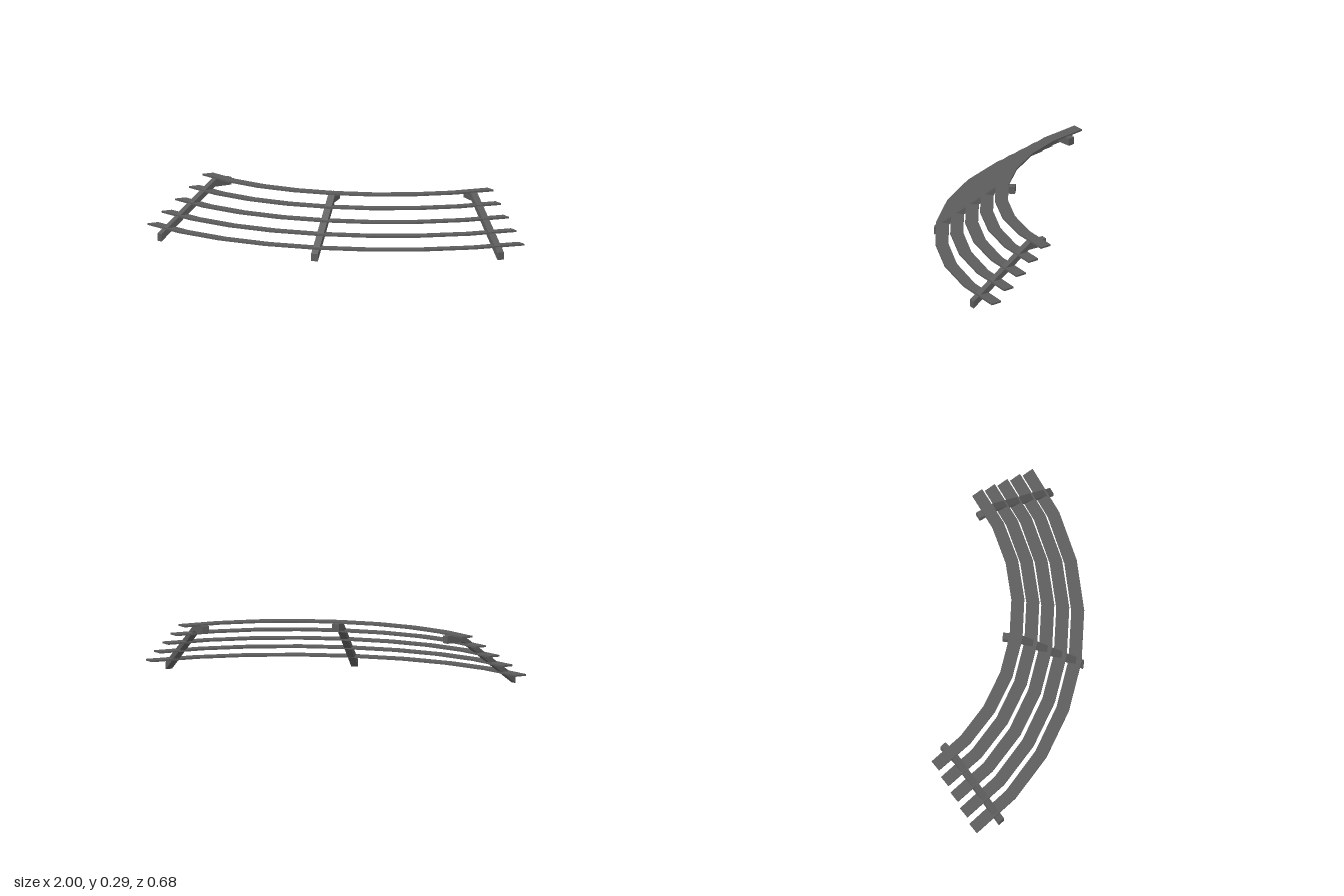
import * as THREE from 'three';

const SEGMENTS = 8;      // straight pieces in each curved slat
const SLATS = 5;
const THICK = 0.009;
const POST_WIDTH = 0.036;

// Flattened arc spanning 45 degrees each way, given by its end point and middle depth
function arcPoints(endX, endZ, midZ) {
  const points = [];
  const c45 = Math.SQRT1_2;
  for (let i = 0; i <= SEGMENTS; i++) {
    const a = (i / SEGMENTS - 0.5) * Math.PI / 2;
    const x = endX * Math.sin(a) / c45;
    const z = endZ + (midZ - endZ) * (Math.cos(a) - c45) / (1 - c45);
    points.push(new THREE.Vector2(x, -z));
  }
  return points;
}

// Curved plank lying flat, its underside at y = 0
function slatGeometry(endX, endZ, midZ) {
  const outer = arcPoints(endX, endZ, midZ);
  const inner = arcPoints(endX - 0.043, endZ - 0.044, midZ - 0.067);
  const shape = new THREE.Shape([...outer, ...inner.reverse()]);
  const geometry = new THREE.ExtrudeGeometry(shape, { depth: THICK, bevelEnabled: false });
  return geometry.rotateX(-Math.PI / 2);
}

// Sloping beam with a level rear end, centred along its length
function supportGeometry(length) {
  const k = length / 0.417;
  const profile = [
    [0.2085, 0], [0.2085, 0.038], [-0.1175, 0.287],
    [-0.2085, 0.287], [-0.2085, 0.248], [-0.1085, 0.248],
  ].map(([z, y]) => new THREE.Vector2(z * k, y));
  const geometry = new THREE.ExtrudeGeometry(new THREE.Shape(profile), { depth: POST_WIDTH, bevelEnabled: false });
  return geometry.translate(0, 0, -POST_WIDTH / 2).rotateY(-Math.PI / 2);
}

export function createModel() {
  const model = new THREE.Group();
  model.name = 'curvedSteps';
  const grey = new THREE.MeshStandardMaterial({ color: 0x5c5c5c });
  grey.name = 'darkGrey';

  // Curved slats, stepping up and back
  for (let i = 0; i < SLATS; i++) {
    const geometry = slatGeometry(1 - 0.057 * i, -0.067 - 0.057 * i, 0.33 - 0.0763 * i);
    const slat = new THREE.Mesh(geometry, grey);
    slat.name = 'slat' + (i + 1);
    slat.position.y = 0.058 + 0.0566 * i;
    model.add(slat);
  }

  // Supports under the middle and both ends
  const addSupport = (name, length, x, z, angle) => {
    const support = new THREE.Mesh(supportGeometry(length), grey);
    support.name = name;
    support.position.set(x, 0, z);
    support.rotation.y = angle;
    model.add(support);
  };
  addSupport('middleSupport', 0.417, 0, 0.1315, 0);
  for (const side of [1, -1]) {
    const name = side > 0 ? 'leftSupport' : 'rightSupport';
    addSupport(name, 0.44, side * 0.7675, -0.125, side * THREE.MathUtils.degToRad(39));
  }

  return model;
}
